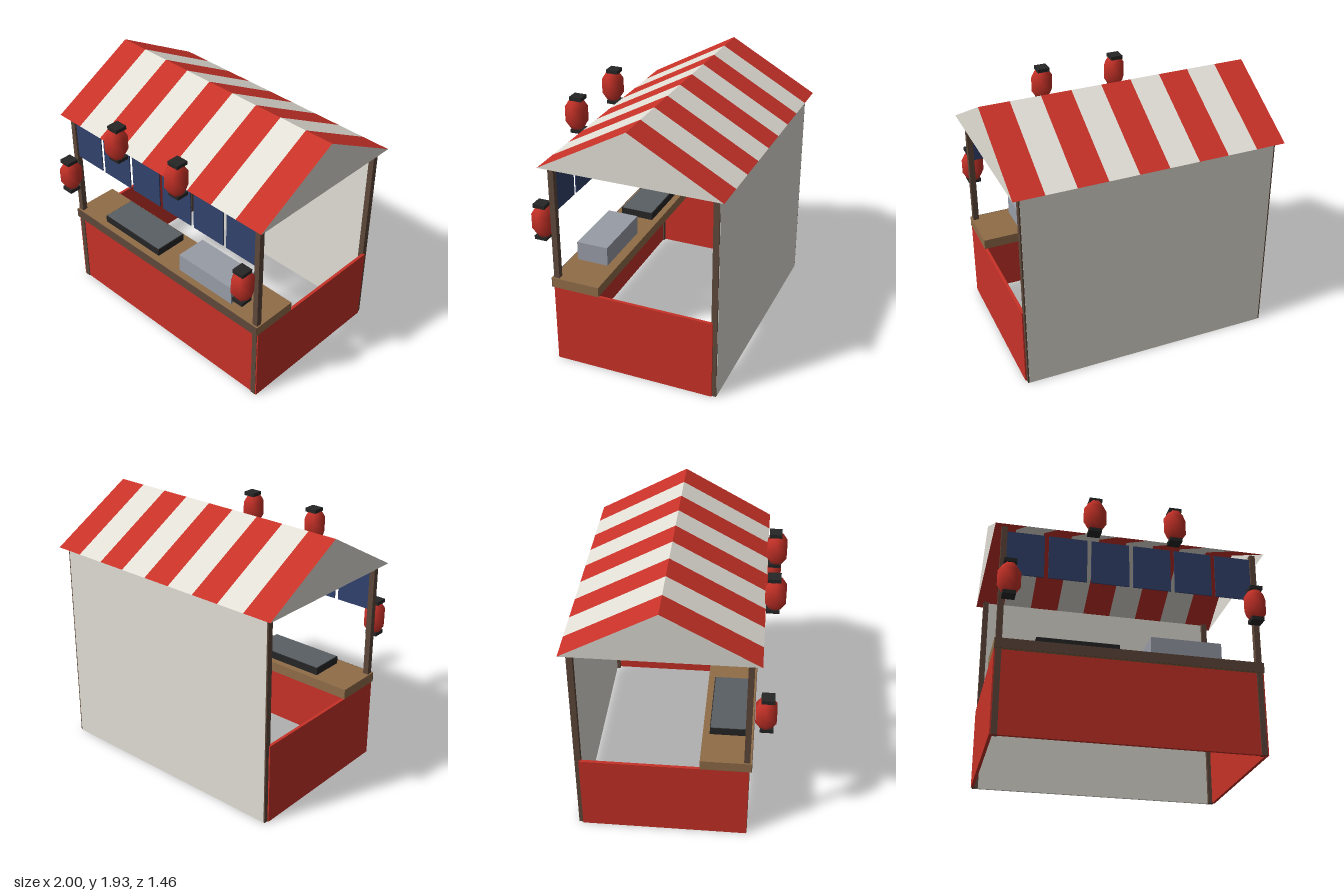
import * as THREE from 'three';

export function createModel() {
  const root = new THREE.Group();
  root.name = 'marketStall';

  const material = (name, color, extra = {}) => {
    const m = new THREE.MeshStandardMaterial({ color, ...extra });
    m.name = name;
    return m;
  };
  const red = material('red', 0xc83228, { side: THREE.DoubleSide });
  const cream = material('cream', 0xe2dfd6, { side: THREE.DoubleSide });
  const darkWood = material('darkWood', 0x5e483a);
  const wood = material('wood', 0x906c48);
  const navy = material('navy', 0x32426e);
  const black = material('black', 0x262626);
  const metal = material('metal', 0x989ca6);
  const iron = material('iron', 0x5a6064);

  const add = (name, geometry, mat, parent = root) => {
    const mesh = new THREE.Mesh(geometry, mat);
    mesh.name = name;
    parent.add(mesh);
    return mesh;
  };
  // Box given by its lower and upper limits on each axis
  const box = (name, mat, [x0, x1], [y0, y1], [z0, z1], parent = root) => {
    const mesh = add(name, new THREE.BoxGeometry(x1 - x0, y1 - y0, z1 - z0), mat, parent);
    mesh.position.set((x0 + x1) / 2, (y0 + y1) / 2, (z0 + z1) / 2);
    return mesh;
  };

  // Flat face from corners in order around the edge
  const face = (name, mat, corners) => {
    const g = new THREE.BufferGeometry();
    g.setAttribute('position', new THREE.Float32BufferAttribute(corners.flat(), 3));
    g.setIndex(corners.length === 4 ? [0, 1, 2, 0, 2, 3] : [0, 1, 2]);
    g.computeVertexNormals();
    return add(name, g, mat);
  };

  // Frame: posts, lower panels and back wall
  for (const s of [-1, 1]) {
    const x = s < 0 ? [-0.95, -0.908] : [0.908, 0.95];
    box('frontPost', darkWood, x, [0, 1.57], [0.508, 0.55]);
    box('backPost', darkWood, x, [0, 1.57], [-0.685, -0.642]);
    box('sidePanel', red, s < 0 ? [-0.96, -0.938] : [0.938, 0.96], [0, 0.61], [-0.655, 0.547]);
  }
  box('frontPanel', red, [-0.945, 0.945], [0, 0.61], [0.52, 0.543]);
  box('backWall', cream, [-0.94, 0.94], [0, 1.57], [-0.687, -0.67]);

  // Counter with a dark front edge
  box('counter', wood, [-0.96, 0.96], [0.61, 0.685], [0.2, 0.562]);
  box('counterEdge', darkWood, [-0.96, 0.96], [0.61, 0.685], [0.562, 0.566]);

  // Cooking goods
  box('griddle', black, [-0.67, -0.08], [0.685, 0.742], [0.25, 0.51]);
  box('griddlePlate', iron, [-0.665, -0.085], [0.742, 0.746], [0.255, 0.505]);
  box('metalBox', metal, [0.145, 0.665], [0.685, 0.83], [0.27, 0.51]);

  // Striped gable roof
  const eaveY = 1.56, ridgeY = 1.93, frontZ = 0.6, ridgeZ = -0.065, backZ = -0.73;
  const stripes = 9;
  for (let i = 0; i < stripes; i++) {
    const a = -1 + (2 * i) / stripes, b = -1 + (2 * (i + 1)) / stripes;
    const mat = i % 2 ? cream : red;
    face('frontRoofStripe', mat, [[a, eaveY, frontZ], [b, eaveY, frontZ], [b, ridgeY, ridgeZ], [a, ridgeY, ridgeZ]]);
    face('backRoofStripe', mat, [[b, eaveY, backZ], [a, eaveY, backZ], [a, ridgeY, ridgeZ], [b, ridgeY, ridgeZ]]);
  }
  face('rightGable', cream, [[-1, eaveY, backZ], [-1, eaveY, frontZ], [-1, ridgeY, ridgeZ]]);
  face('leftGable', cream, [[1, eaveY, frontZ], [1, eaveY, backZ], [1, ridgeY, ridgeZ]]);

  // Hanging cloth banners
  for (let i = 0; i < 6; i++) {
    const x = (i - 2.5) * 0.31;
    box('banner', navy, [x - 0.14, x + 0.14], [1.2, 1.54], [0.526, 0.534]);
  }

  // Six-sided paper lanterns with square caps
  const profile = [[0.045, -0.115], [0.083, -0.056], [0.083, 0.056], [0.045, 0.115]];
  const bodyGeometry = new THREE.LatheGeometry(profile.map(p => new THREE.Vector2(...p)), 6);
  bodyGeometry.rotateY(Math.PI / 6);
  const lantern = (x, y, z) => {
    const g = new THREE.Group();
    g.name = 'lantern';
    add('lanternBody', bodyGeometry, red, g).position.z = z;
    for (const s of [-1, 1]) {
      add('lanternCap', new THREE.BoxGeometry(0.092, 0.028, 0.092), black, g).position.set(0, s * 0.124, 0.648);
    }
    g.position.set(x, y, 0);
    root.add(g);
  };
  for (const s of [-1, 1]) {
    lantern(s * 0.298, 1.669, 0.662);
    lantern(s * 0.89, 1.098, 0.64);
  }

  return root;
}
